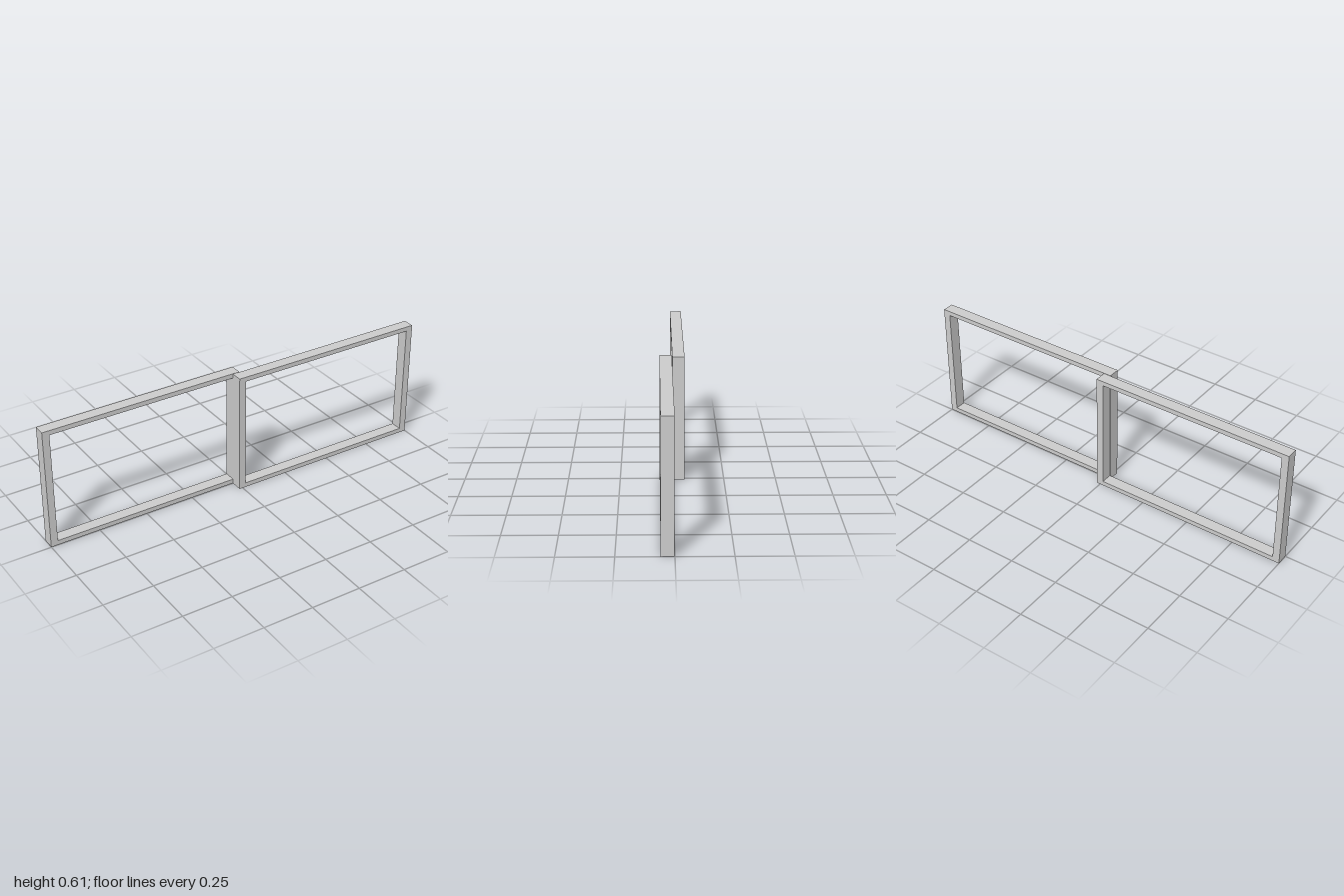
import * as THREE from 'three';

const HEIGHT = 0.61, LENGTH = 1.018, DEPTH = 0.058;
const STILE = 0.035, RAIL = 0.023, GAP = 0.0025;

// Rectangular outline, reusable as a shape or a hole
function rect(path, x0, y0, x1, y1) {
  path.moveTo(x0, y0);
  path.lineTo(x1, y0);
  path.lineTo(x1, y1);
  path.lineTo(x0, y1);
  path.closePath();
  return path;
}

export function createModel() {
  const model = new THREE.Group();
  model.name = 'slidingWindowFrames';
  const material = new THREE.MeshStandardMaterial({ color: 0xcccccc });

  // One sash: wide stiles at the sides, thinner rails above and below
  const outline = rect(new THREE.Shape(), 1 - LENGTH, 0, 1, HEIGHT);
  outline.holes.push(rect(new THREE.Path(), 1 - LENGTH + STILE, RAIL, 1 - STILE, HEIGHT - RAIL));
  const geometry = new THREE.ExtrudeGeometry(outline, { depth: DEPTH, bevelEnabled: false });
  geometry.translate(0, 0, GAP / 2);

  // The two sashes overlap at the middle, on separate tracks
  ['frontSash', 'backSash'].forEach((name, i) => {
    const sash = new THREE.Mesh(geometry, material);
    sash.name = name;
    sash.rotation.y = i * Math.PI;
    model.add(sash);
  });
  return model;
}
